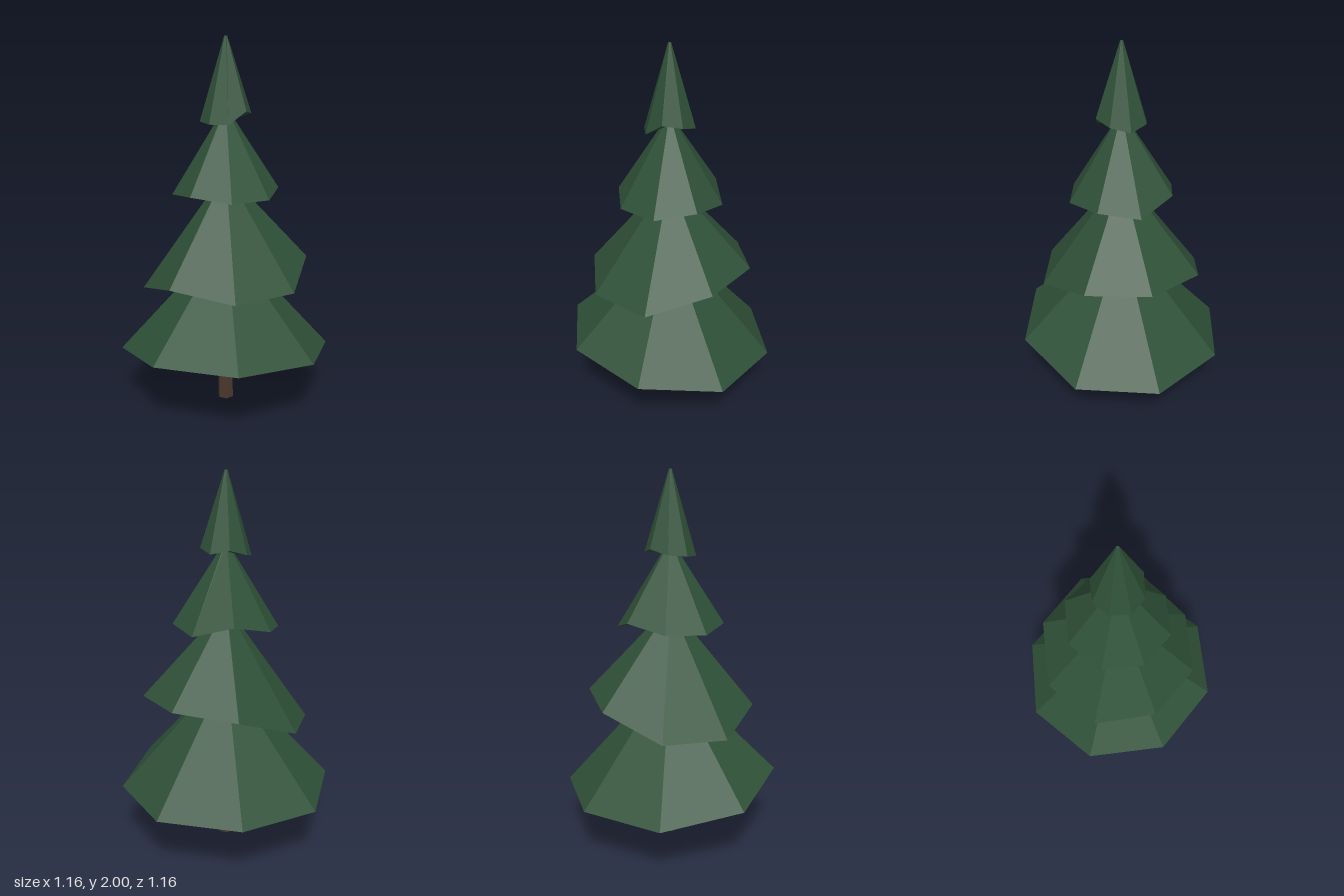
import * as THREE from 'three';

const SIDES = 8;

// Each tier: rim radius, tip height, and rim heights going round from the
// front (+z) through +x, the back and -x.
const TIERS = [
  { name: 'bottomFoliage', radius: 0.58, tip: 0.94, rim: [0.40, 0.367, 0.305, 0.29, 0.292, 0.285, 0.325, 0.395] },
  { name: 'lowerFoliage', radius: 0.45, tip: 1.30, rim: [0.72, 0.725, 0.826, 0.83, 0.802, 0.687, 0.675, 0.765] },
  { name: 'upperFoliage', radius: 0.285, tip: 1.64, rim: [1.19, 1.19, 1.217, 1.186, 1.242, 1.20, 1.19, 1.213] },
  { name: 'topFoliage', radius: 0.135, tip: 2.0, rim: [1.565, 1.63, 1.612, 1.586, 1.606, 1.58, 1.572, 1.565] },
];

// An eight-sided cone with a blunt tip, whose rim is bent to uneven heights.
function foliageGeometry({ radius, tip, rim }) {
  const geo = new THREE.CylinderGeometry(0.008, radius, 1, SIDES);
  const pos = geo.attributes.position;
  const middle = rim.reduce((a, b) => a + b, 0) / SIDES;
  for (let i = 0; i < pos.count; i++) {
    const x = pos.getX(i), z = pos.getZ(i);
    if (pos.getY(i) > 0) {
      pos.setY(i, tip);
    } else if (Math.hypot(x, z) < 1e-4) {
      pos.setY(i, middle); // centre of the underside
    } else {
      const step = Math.round(Math.atan2(x, z) / (2 * Math.PI / SIDES));
      pos.setY(i, rim[(step + SIDES) % SIDES]);
    }
  }
  const flat = geo.toNonIndexed();
  flat.computeVertexNormals();
  return flat;
}

export function createModel() {
  const tree = new THREE.Group();
  tree.name = 'pineTree';

  const needleGreen = new THREE.MeshStandardMaterial({ color: 0x2f5138, flatShading: true });
  needleGreen.name = 'needle green';
  const barkBrown = new THREE.MeshStandardMaterial({ color: 0x4a382e, flatShading: true });
  barkBrown.name = 'bark brown';

  // Trunk: a slightly tapered hexagonal post reaching into the lowest tier
  const trunk = new THREE.Mesh(new THREE.CylinderGeometry(0.04, 0.045, 0.5, 6), barkBrown);
  trunk.name = 'trunk';
  trunk.position.y = 0.25;
  tree.add(trunk);

  // Stacked foliage tiers
  for (const tier of TIERS) {
    const mesh = new THREE.Mesh(foliageGeometry(tier), needleGreen);
    mesh.name = tier.name;
    tree.add(mesh);
  }
  return tree;
}
